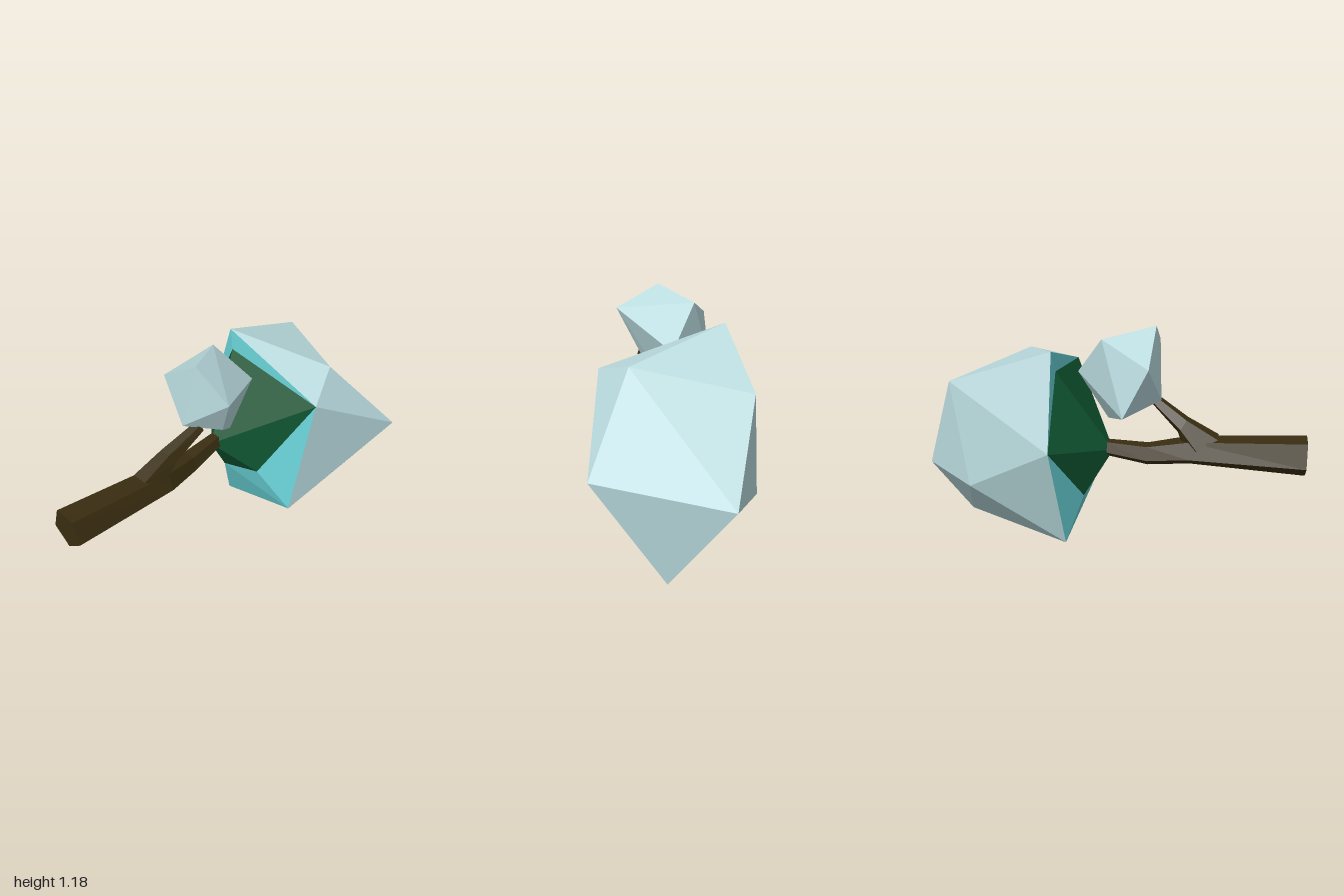
import * as THREE from 'three';
import { ConvexGeometry } from 'three/addons/geometries/ConvexGeometry.js';

const V = (x, y, z) => new THREE.Vector3(x, y, z);

// Flat-shaded geometry from a list of points, three per triangle
function facets(points) {
  const g = new THREE.BufferGeometry().setFromPoints(points);
  g.computeVertexNormals();
  return g;
}

// Triangles named by corner letters, turned to face away from a centre
function shell(corners, faces, centre) {
  return facets(faces.split(' ').flatMap((f) => {
    const [a, b, c] = [...f].map((k) => corners[k]);
    const n = b.clone().sub(a).cross(c.clone().sub(a));
    return n.dot(a.clone().sub(centre)) > 0 ? [a, b, c] : [a, c, b];
  }));
}

// Five-sided limb through rings [x, y, z, radiusX, radiusY, tilt], running toward -z
function limb(rings) {
  const n = 5;
  const loops = rings.map(([x, y, z, rx, ry, tilt]) =>
    Array.from({ length: n }, (_, k) => {
      const t = -Math.PI / 2 + (k / n) * Math.PI * 2;
      const v = ry * Math.sin(t);
      return V(x + rx * Math.cos(t), y + v * Math.cos(tilt), z + v * Math.sin(tilt));
    }));
  const pts = [];
  const last = loops.length - 1;
  const start = V(...rings[0].slice(0, 3));
  const end = V(...rings[last].slice(0, 3));
  for (let k = 0; k < n; k++) {
    const m = (k + 1) % n;
    for (let i = 0; i < last; i++) {
      const [p, q] = [loops[i], loops[i + 1]];
      pts.push(p[k], q[k], p[m], p[m], q[k], q[m]);
    }
    pts.push(start, loops[0][k], loops[0][m], end, loops[last][m], loops[last][k]);
  }
  return facets(pts);
}

export function createModel() {
  const group = new THREE.Group();
  const material = (name, color) => {
    const m = new THREE.MeshStandardMaterial({ color });
    m.name = name;
    return m;
  };
  const snow = material('pale snow', 0xb9dade);
  const ice = material('cyan rim', 0x66cdd2);
  const leaf = material('dark green leaf', 0x0f5431);
  const bark = material('dark bark', 0x3a2e11);
  const add = (name, geometry, mat) => {
    const mesh = new THREE.Mesh(geometry, mat);
    mesh.name = name;
    group.add(mesh);
  };

  // Large crown: snowy back, cyan rim and green underside around the trunk
  const crown = {
    A: V(-0.30, 1.09, -0.29), B: V(0.215, 0.97, -0.535), C: V(0.335, 0.885, -0.29),
    D: V(0.445, 0.55, -0.865), E: V(0.30, 0.24, -0.155), F: V(0.085, 0, -0.89),
    G: V(-0.265, 0.01, -0.245), H: V(-0.445, 0.595, -0.285), I: V(-0.215, 0.415, -1),
    J: V(-0.32, 0.915, -0.825), K: V(-0.375, 0.36, -0.73), L: V(-0.16, 0.53, 0),
    M: V(-0.27, 0.98, -0.276), P: V(-0.21, 0.275, -0.153), Q: V(0.075, 0.39, -0.13),
  };
  const centre = V(0, 0.52, -0.5);
  add('crownSnow', shell(crown,
    'ABC BCD CDE DEF EFG DFI BDI BIJ ABJ AHJ HJK JKI IKF FKG HKG', centre), snow);
  add('crownRim', shell(crown, 'AHM AMC CEQ EGP EPQ HGP', centre), ice);
  add('crownUnderside', shell(crown, 'LHM LMC LCQ LQP LPH', centre), leaf);

  // Small crown on the side branch
  add('smallCrown', new ConvexGeometry([
    V(-0.04, 1.18, 0.205), V(-0.19, 1.135, -0.055), V(-0.295, 1.015, 0.20),
    V(0.19, 1.055, 0.20), V(-0.11, 0.805, 0.245), V(-0.305, 0.755, 0.07),
    V(-0.05, 0.92, -0.208), V(-0.055, 0.67, -0.045), V(0.07, 0.815, 0.13),
    V(-0.08, 0.985, 0.213),
  ]), snow);

  // Trunk and side branch
  add('trunk', limb([
    [-0.13, 0.55, 1, 0.109, 0.11, 0], [-0.11, 0.535, 0.4, 0.09, 0.077, 0],
    [-0.14, 0.512, 0.18, 0.062, 0.062, 0], [-0.155, 0.54, -0.03, 0.045, 0.047, 0],
  ]), bark);
  add('branch', limb([
    [-0.115, 0.575, 0.47, 0.075, 0.11, 1.05], [-0.1, 0.672, 0.36, 0.055, 0.05, 0.56],
    [-0.05, 0.803, 0.185, 0.036, 0.028, 0.26],
  ]), bark);
  return group;
}
